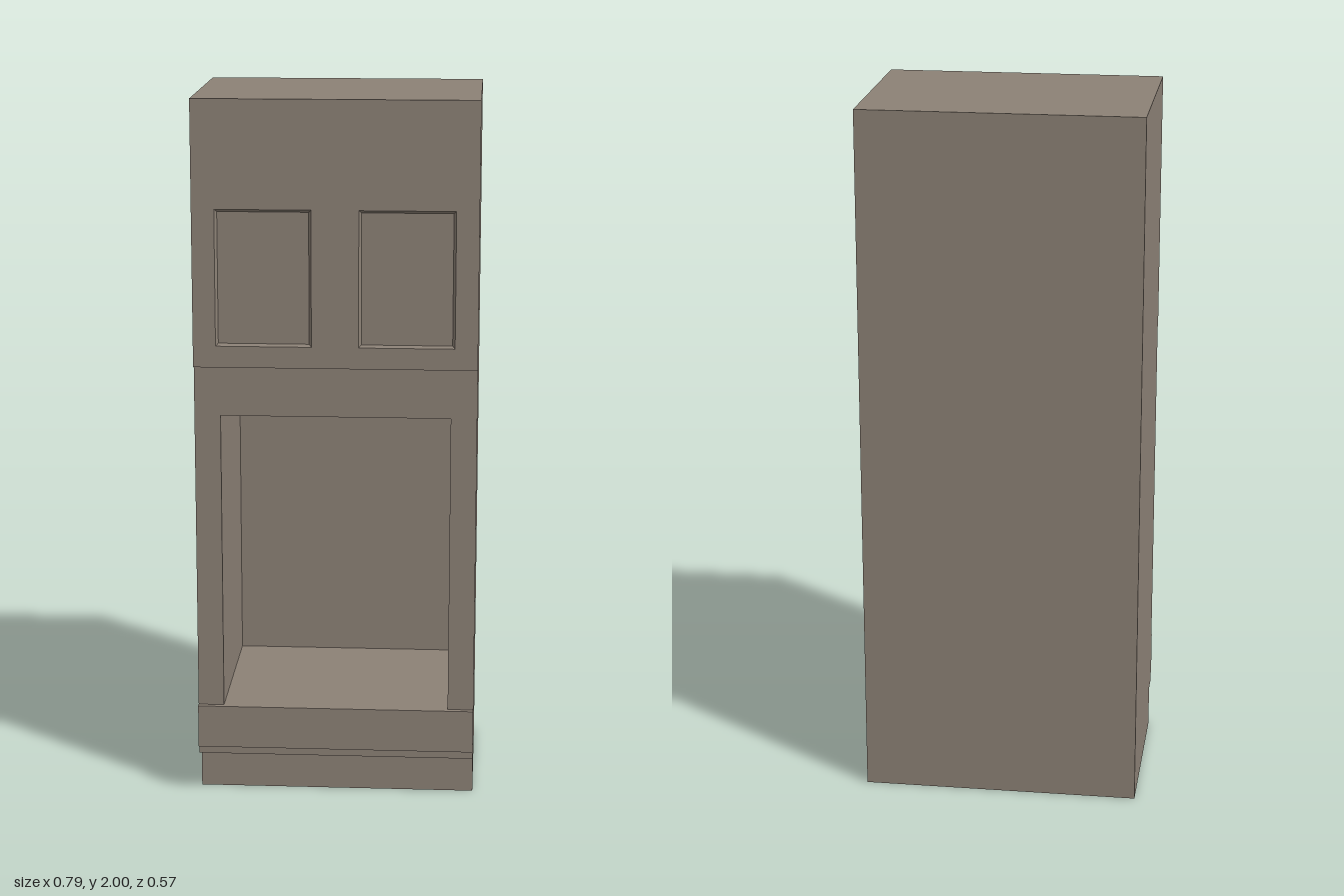
import * as THREE from 'three';

const W = 0.786, BACK = -0.285, FRONT = 0.27, FACE = 0.285;

// Rectangle outline from corner coordinates
function rect(Type, x0, x1, y0, y1) {
  return new Type([[x0, y0], [x1, y0], [x1, y1], [x0, y1]].map(p => new THREE.Vector2(...p)));
}

// Slab between two depths with rectangular openings
function slab(x0, x1, y0, y1, z0, z1, holes = []) {
  const shape = rect(THREE.Shape, x0, x1, y0, y1);
  shape.holes = holes.map(h => rect(THREE.Path, ...h));
  const geo = new THREE.ExtrudeGeometry(shape, { depth: z1 - z0, bevelEnabled: false });
  return geo.translate(0, 0, z0);
}

// Sloping edges and flat centre of a recessed door panel
function recessedPanel([x0, x1, y0, y1], inset, depth) {
  const pos = [];
  for (const [i, z] of [[0, FACE], [inset, FACE - depth]]) {
    pos.push(x0 + i, y0 + i, z, x1 - i, y0 + i, z, x1 - i, y1 - i, z, x0 + i, y1 - i, z);
  }
  const idx = [4, 5, 6, 4, 6, 7];
  for (let a = 0; a < 4; a++) {
    const b = (a + 1) % 4;
    idx.push(a, b, b + 4, a, b + 4, a + 4);
  }
  const indexed = new THREE.BufferGeometry();
  indexed.setAttribute('position', new THREE.Float32BufferAttribute(pos, 3));
  indexed.setIndex(idx);
  const geo = indexed.toNonIndexed();
  geo.computeVertexNormals();
  return geo;
}

export function createModel() {
  const group = new THREE.Group();
  const material = new THREE.MeshStandardMaterial({ color: 0x8c8176 });
  const add = (name, geo) => {
    const mesh = new THREE.Mesh(geo, material);
    mesh.name = name;
    group.add(mesh);
  };
  const h = W / 2;

  // Carcass with a deep appliance opening, closed at the back
  add('carcass', slab(-h, h, 0.12, 2, -0.25, FRONT, [[-0.32, 0.32, 0.268, 1.12]]));
  add('backPanel', slab(-h, h, 0.12, 2, BACK, -0.25));

  // Recessed plinth
  add('toeKick', slab(-h, h, 0, 0.12, BACK, 0.215));

  // Drawer front under the opening
  add('drawerFront', slab(-h, h, 0.145, 0.268, FRONT, FACE));

  // Upper door front with two recessed panels
  const panels = [[-0.33, -0.065, 1.32, 1.70], [0.065, 0.33, 1.32, 1.70]];
  add('upperDoorFront', slab(-h, h, 1.26, 1.764, FRONT, FACE, panels));
  panels.forEach((p, i) => add(i ? 'leftDoorPanel' : 'rightDoorPanel', recessedPanel(p, 0.007, 0.008)));

  // Plain fascia above the doors
  add('topFascia', slab(-h, h, 1.764, 2, FRONT, FACE));

  return group;
}
